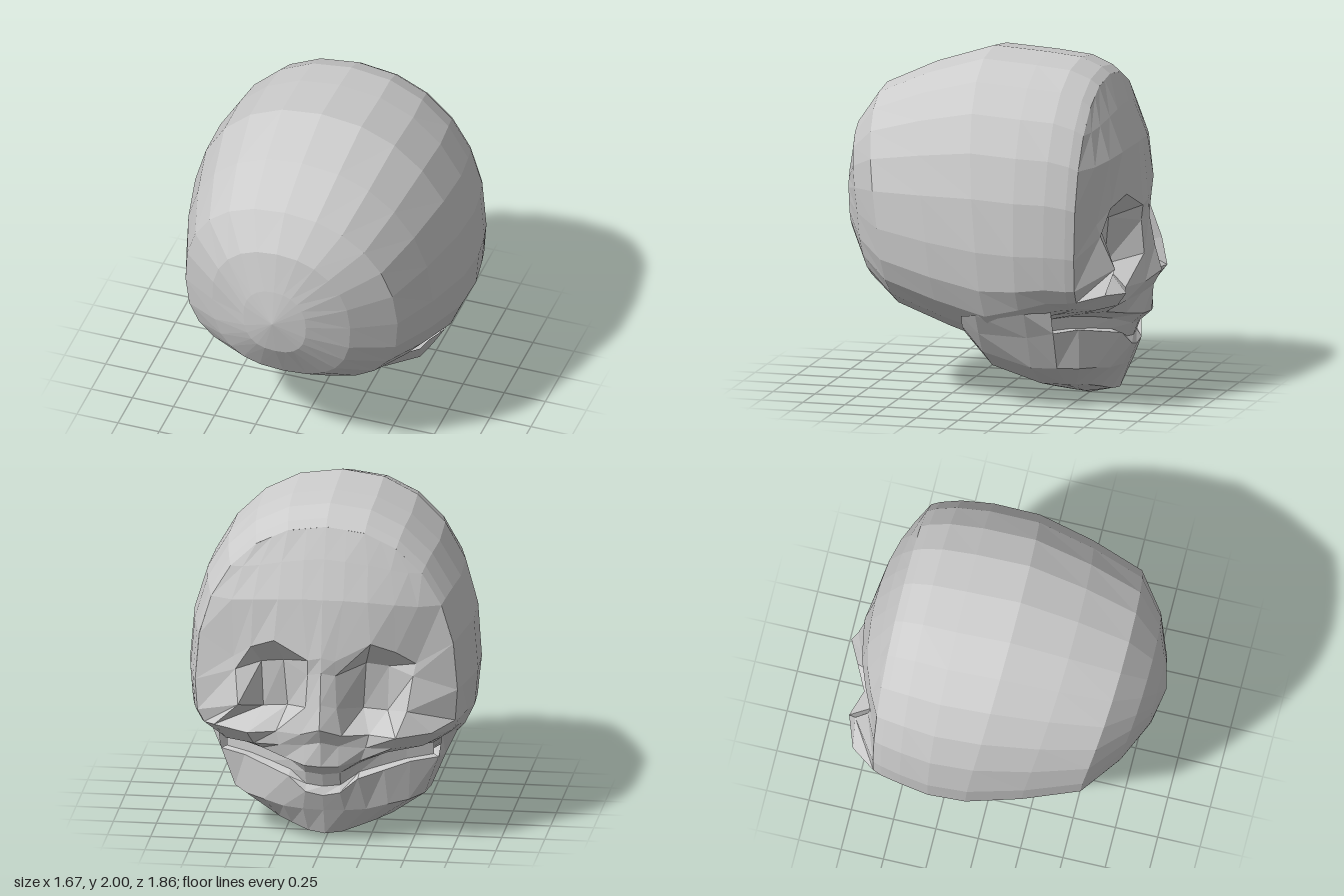
import * as THREE from 'three';

const material = new THREE.MeshStandardMaterial({ color: 0xcccccc, flatShading: true, side: THREE.DoubleSide });

// Skin a grid of points given as rows of [x, y, z]
function skin(name, rows) {
  const cols = rows[0].length, index = [];
  for (let r = 0; r < rows.length - 1; r++) {
    for (let c = 0; c < cols - 1; c++) {
      const a = r * cols + c, b = a + cols;
      index.push(a, b, a + 1, a + 1, b, b + 1);
    }
  }
  const geo = new THREE.BufferGeometry();
  geo.setAttribute('position', new THREE.Float32BufferAttribute(rows.flat(2), 3));
  geo.setIndex(index);
  geo.computeVertexNormals();
  const mesh = new THREE.Mesh(geo, material);
  mesh.name = name;
  return mesh;
}

// Turn a half row (centre to +x) into a full row running from +x to -x
const mirrorRow = (half) => [
  ...half.slice().reverse(),
  ...half.slice(1).map(([x, y, z]) => [-x, y, z]),
];

// One cross-section of the braincase: round above the middle, boxier below,
// with its top leaning to +z
function section([z, width, top, mid, bottom, lean, boxy]) {
  const steps = 24, ring = [];
  for (let i = 0; i <= steps; i++) {
    const t = (i / steps) * Math.PI * 2;
    const s = Math.sin(t), c = -Math.cos(t);
    const power = 2 / (c > 0 ? 2.2 : boxy);
    const h = c > 0 ? top - mid : mid - bottom;
    ring.push([
      width * Math.sign(s) * Math.abs(s) ** power,
      mid + h * Math.sign(c) * Math.abs(c) ** power,
      z + lean * c * (c > 0 ? 1 : 0.5),
    ]);
  }
  return ring;
}

export function createModel() {
  const model = new THREE.Group();
  model.name = 'skull';

  // Braincase: z, half width, top, middle, bottom, lean, boxiness
  const cranium = [
    [0.93, 0, 1.1, 1.1, 1.1, 0, 2.5],
    [0.885, 0.19, 1.31, 1.09, 0.87, 0.015, 2.5],
    [0.77, 0.42, 1.55, 1.06, 0.62, 0.08, 2.5],
    [0.59, 0.645, 1.75, 1.02, 0.48, 0.12, 2.5],
    [0.27, 0.75, 1.89, 0.98, 0.365, 0.14, 2.5],
    [-0.05, 0.825, 2.0, 0.95, 0.27, 0.12, 2.5],
    [-0.28, 0.835, 1.98, 0.94, 0.42, 0.03, 3],
    [-0.45, 0.81, 1.96, 0.94, 0.52, 0, 3.5],
    [-0.57, 0.78, 1.91, 0.93, 0.55, 0, 4],
    [-0.62, 0.76, 1.87, 0.92, 0.56, 0, 4],
  ].map(section);
  model.add(skin('cranium', cranium));

  // Forehead down to the brow ridge
  const forehead = [
    [[0, 1.87, -0.62], [0.111, 1.855, -0.62], [0.223, 1.84, -0.62], [0.314, 1.797, -0.62], [0.405, 1.753, -0.62], [0.48, 1.683, -0.62]],
    [[0, 1.7, -0.7], [0.12, 1.69, -0.7], [0.25, 1.67, -0.69], [0.38, 1.64, -0.67], [0.48, 1.62, -0.645], [0.555, 1.613, -0.62]],
    [[0, 1.48, -0.79], [0.12, 1.48, -0.785], [0.26, 1.47, -0.77], [0.41, 1.45, -0.735], [0.54, 1.43, -0.685], [0.667, 1.426, -0.62]],
    [[0, 1.15, -0.85], [0.08, 1.13, -0.84], [0.28, 1.23, -0.8], [0.42, 1.17, -0.745], [0.53, 1.09, -0.69], [0.736, 1.198, -0.62]],
  ];

  // Eye sockets, nose and cheekbones
  const midFace = [
    forehead[3],
    [[0, 1.06, -0.855], [0.08, 1.04, -0.83], [0.24, 1.08, -0.68], [0.37, 1.06, -0.66], [0.515, 1.02, -0.71], [0.76, 0.92, -0.62]],
    [[0, 0.88, -0.89], [0.09, 0.85, -0.85], [0.22, 0.8, -0.65], [0.36, 0.79, -0.65], [0.49, 0.83, -0.79], [0.747, 0.737, -0.62]],
    [[0, 0.74, -0.93], [0.12, 0.69, -0.865], [0.27, 0.68, -0.79], [0.43, 0.68, -0.84], [0.63, 0.7, -0.77], [0.707, 0.665, -0.62]],
    [[0, 0.65, -0.88], [0.1, 0.62, -0.84], [0.25, 0.6, -0.79], [0.4, 0.6, -0.78], [0.57, 0.6, -0.7], [0.639, 0.617, -0.62]],
    [[0, 0.5, -0.87], [0.1, 0.5, -0.85], [0.22, 0.52, -0.78], [0.36, 0.55, -0.7], [0.5, 0.56, -0.6], [0.64, 0.57, -0.45]],
  ];

  // Open mouth, lower teeth ridge and chin
  const lowerFace = [
    midFace[5],
    [[0, 0.43, -0.79], [0.1, 0.44, -0.78], [0.2, 0.48, -0.69], [0.32, 0.51, -0.6], [0.45, 0.53, -0.52], [0.6, 0.54, -0.44]],
    [[0, 0.35, -0.76], [0.1, 0.36, -0.75], [0.2, 0.42, -0.68], [0.32, 0.44, -0.6], [0.45, 0.46, -0.52], [0.6, 0.47, -0.44]],
    [[0, 0.3, -0.78], [0.1, 0.32, -0.78], [0.2, 0.4, -0.75], [0.34, 0.43, -0.66], [0.48, 0.46, -0.57], [0.63, 0.46, -0.46]],
    [[0, 0.2, -0.74], [0.12, 0.2, -0.73], [0.24, 0.2, -0.69], [0.36, 0.22, -0.64], [0.47, 0.23, -0.57], [0.55, 0.24, -0.46]],
    [[0, 0.04, -0.68], [0.1, 0.05, -0.66], [0.2, 0.08, -0.62], [0.28, 0.1, -0.57], [0.33, 0.11, -0.51], [0.36, 0.11, -0.46]],
    [[0, 0, -0.5], [0.08, 0.02, -0.49], [0.16, 0.05, -0.48], [0.23, 0.07, -0.47], [0.3, 0.09, -0.46], [0.36, 0.11, -0.46]],
  ];
  model.add(skin('forehead', forehead.map(mirrorRow)));
  model.add(skin('eyeSocketsAndNose', midFace.map(mirrorRow)));
  model.add(skin('mouthAndChin', lowerFace.map(mirrorRow)));

  // Lower jaw wrapping under the head, centre line outwards, blending into the cheeks
  const jaw = [
    [[0, 0.32, 0.1], [0.3, 0.36, 0.1], [0.5, 0.41, 0.1], [0.61, 0.47, 0.09], [0.66, 0.54, 0.08]],
    [[0, 0.12, -0.02], [0.36, 0.2, -0.02], [0.57, 0.32, -0.02], [0.65, 0.44, -0.02], [0.72, 0.56, -0.02]],
    [[0, 0.02, -0.31], [0.36, 0.11, -0.31], [0.57, 0.24, -0.31], [0.65, 0.43, -0.31], [0.72, 0.58, -0.31]],
    [[0, 0, -0.5], [0.36, 0.11, -0.46], [0.55, 0.24, -0.46], [0.63, 0.46, -0.46], [0.65, 0.6, -0.45]],
  ];
  model.add(skin('lowerJaw', jaw.map((half) => mirrorRow(half).reverse())));

  return model;
}
